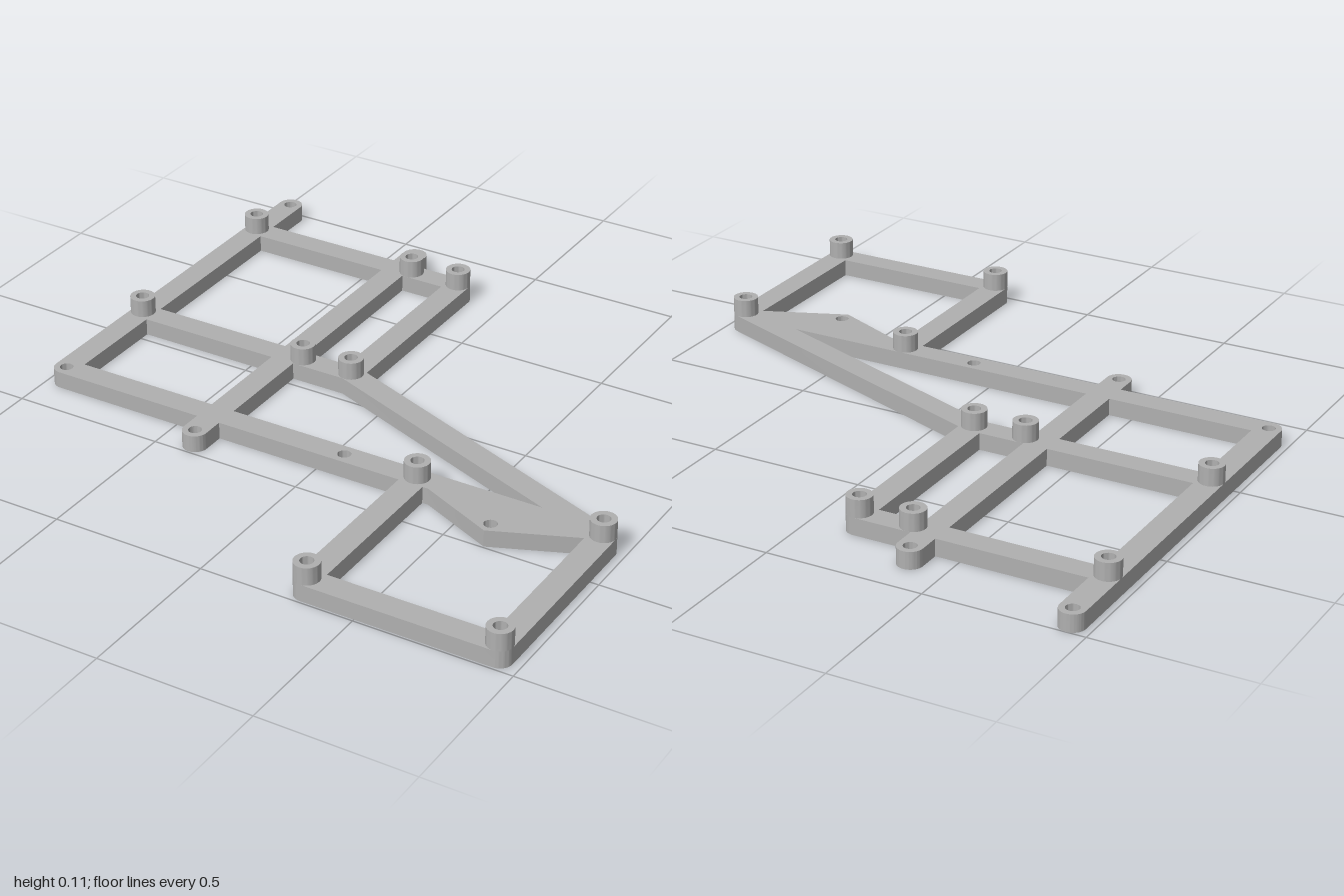
import * as THREE from 'three';
import { toCreasedNormals } from 'three/addons/utils/BufferGeometryUtils.js';

const R = 0.04;        // half width of bars, radius of ends and standoffs
const HOLE = 0.021;    // screw hole radius
const FRAME_H = 0.055;
const TOP_H = 0.112;

// Grid lines of the frame: columns in x, rows in z
const X = { left: -0.939, mid: -0.383, inner: -0.33, step: -0.155, boxL: 0.325, boxR: 0.933 };
const Z = { rear: -0.748, centre: -0.073, front: 0.345, box: 0.953 };

const standoffs = [
  [X.left, Z.rear], [X.inner, Z.rear], [X.step, Z.rear],
  [X.left, Z.centre], [X.inner, Z.centre], [X.step, Z.centre],
  [X.boxL, Z.front], [X.boxR, Z.front], [X.boxL, Z.box], [X.boxR, Z.box],
];
const plainHoles = [
  [X.left, -0.96], [X.left, Z.front], [X.mid, -0.858], [X.mid, 0.455], [0.075, Z.front], [0.63, 0.455],
];

const circle = (x, z, r) => new THREE.Path().absarc(x, z, r, 0, Math.PI * 2, false);
const polygon = (points) => new THREE.Path(points.map(([x, z]) => new THREE.Vector2(x, z)));
const rectangle = (x0, x1, z0, z1) => polygon([[x0, z0], [x1, z0], [x1, z1], [x0, z1]]);

// Extrudes a plan drawn in x and z so that it spans y0 to y1
function slab(shape, y0, y1) {
  const geometry = new THREE.ExtrudeGeometry(shape, { depth: y1 - y0, bevelEnabled: false, curveSegments: 24 });
  geometry.rotateX(Math.PI / 2).translate(0, y1, 0);
  return toCreasedNormals(geometry, 0.6);
}

function frameShape() {
  const PI = Math.PI;
  // Direction of the diagonal brace and the slope of its edges
  const dx = X.boxR - X.step, dz = Z.front - Z.centre;
  const angle = Math.atan2(dz, dx), slope = dz / dx, shift = R / Math.cos(angle);
  const braceZ = (x) => Z.centre + (x - X.step) * slope;
  const braceX = (z) => X.step + (z - Z.centre) / slope;

  const s = new THREE.Shape();
  const corner = (x, z, from, to) => s.absarc(x, z, R, from, to, false);
  corner(X.left, -0.96, PI, 2 * PI);                       // rear left tab
  s.lineTo(X.left + R, Z.rear - R);
  s.lineTo(X.mid - R, Z.rear - R);
  corner(X.mid, -0.858, PI, 2 * PI);                       // rear middle tab
  s.lineTo(X.mid + R, Z.rear - R);
  corner(X.step, Z.rear, 1.5 * PI, 2 * PI);
  s.lineTo(X.step + R, braceZ(X.step + R) - shift);        // start of brace
  corner(X.boxR, Z.front, 1.5 * PI + angle, 2 * PI);
  corner(X.boxR, Z.box, 0, PI / 2);
  corner(X.boxL, Z.box, PI / 2, PI);
  s.lineTo(X.boxL - R, Z.front + R);
  s.lineTo(X.mid + R, Z.front + R);
  corner(X.mid, 0.455, 0, PI);                             // front middle tab
  s.lineTo(X.mid - R, Z.front + R);
  corner(X.left, Z.front, PI / 2, PI);
  s.closePath();

  // Open windows between the bars
  s.holes.push(
    rectangle(X.left + R, X.mid - R, Z.rear + R, Z.centre - R),
    rectangle(X.left + R, X.mid - R, Z.centre + R, Z.front - R),
    rectangle(X.mid + R, X.step - R, Z.rear + R, Z.centre - R),
    polygon([[X.mid + R, Z.centre + R], [braceX(Z.centre + R - shift), Z.centre + R],
      [braceX(Z.front - R - shift), Z.front - R], [X.mid + R, Z.front - R]]),
    // The box window has a pointed gusset along its rear edge
    polygon([[X.boxL + R, Z.front + R], [0.385, Z.front + R], [0.63, 0.495], [X.boxR - R, Z.front + R],
      [X.boxR - R, Z.box - R], [X.boxL + R, Z.box - R]]),
  );
  for (const [x, z] of [...standoffs, ...plainHoles]) s.holes.push(circle(x, z, HOLE));
  return s;
}

export function createModel() {
  const model = new THREE.Group();
  model.name = 'mountingFrame';
  const grey = new THREE.MeshStandardMaterial({ color: 0xb0b0b0 });
  grey.name = 'grey plastic';

  const frame = new THREE.Mesh(slab(frameShape(), 0, FRAME_H), grey);
  frame.name = 'frame';
  model.add(frame);

  // Hollow standoffs on the joints
  const ring = new THREE.Shape().absarc(0, 0, R, 0, Math.PI * 2, false);
  ring.holes.push(circle(0, 0, HOLE));
  const ringGeometry = slab(ring, FRAME_H, TOP_H);
  for (const [x, z] of standoffs) {
    const standoff = new THREE.Mesh(ringGeometry, grey);
    standoff.name = 'standoff';
    standoff.position.set(x, 0, z);
    model.add(standoff);
  }
  return model;
}
